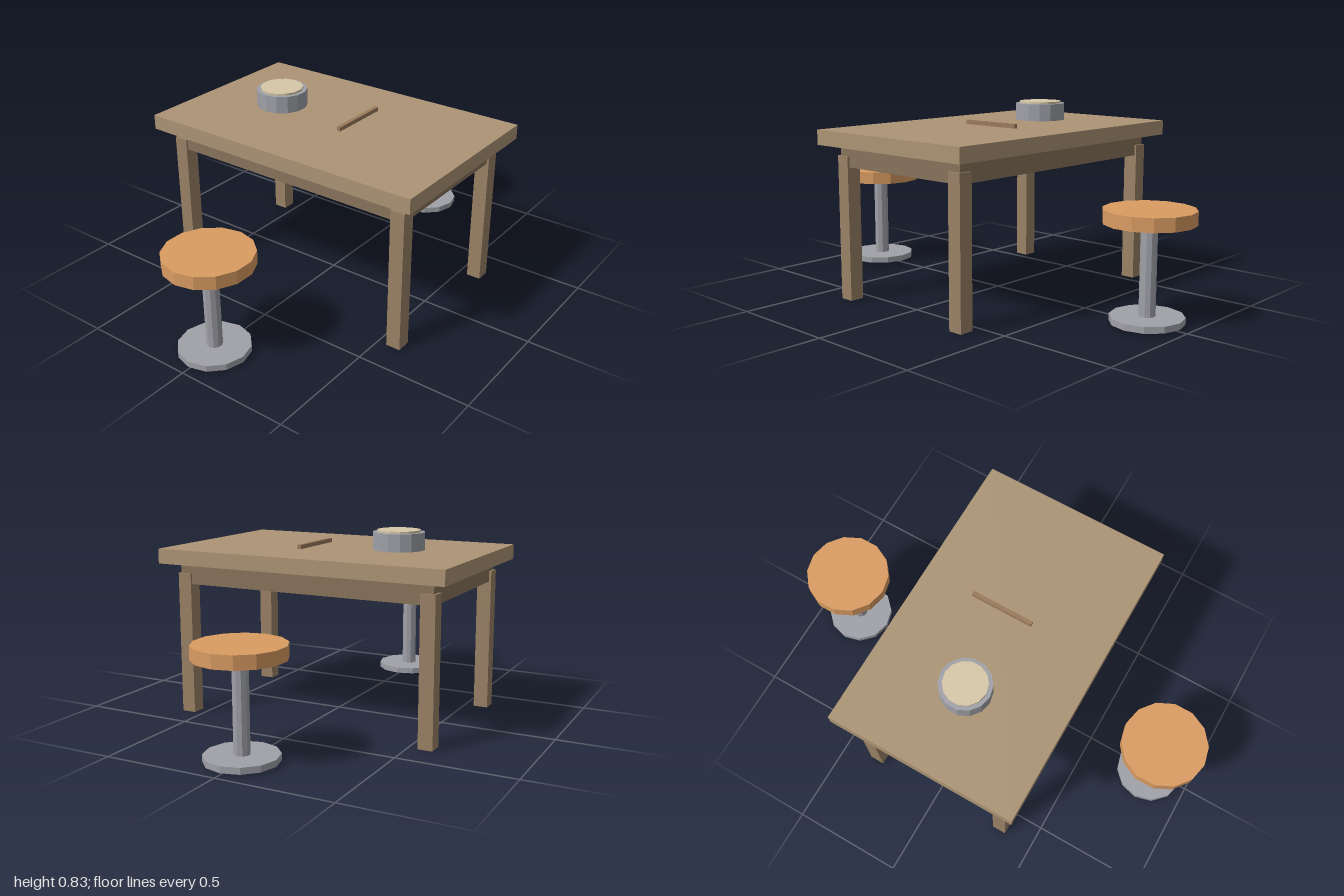
import * as THREE from 'three';

const paint = (color) => new THREE.MeshStandardMaterial({ color, flatShading: true });

export function createModel() {
  const model = new THREE.Group();
  model.name = 'tableWithStools';

  const topWood = paint(0xac9474);
  const apronWood = paint(0x88735a);
  const legWood = paint(0x9a8266);
  const stickWood = paint(0x9a7a5c);
  const orange = paint(0xda9c62);
  const metal = paint(0xa0a1a8);
  const cream = paint(0xd6c8a8);

  function add(parent, name, geometry, material, x, y, z) {
    const mesh = new THREE.Mesh(geometry, material);
    mesh.name = name;
    mesh.position.set(x, y, z);
    parent.add(mesh);
  }

  // Box and upright prism, both placed by their bottom and top heights
  function box(parent, name, material, w, d, y0, y1, x = 0, z = 0) {
    add(parent, name, new THREE.BoxGeometry(w, y1 - y0, d), material, x, (y0 + y1) / 2, z);
  }
  function disc(parent, name, material, r, sides, y0, y1, x = 0, z = 0) {
    add(parent, name, new THREE.CylinderGeometry(r, r, y1 - y0, sides), material, x, (y0 + y1) / 2, z);
  }

  // Table
  const table = new THREE.Group();
  table.name = 'table';
  model.add(table);
  box(table, 'tableTop', topWood, 1.33, 0.854, 0.675, 0.74);
  box(table, 'apron', apronWood, 1.19, 0.716, 0.583, 0.675);
  for (const sx of [-1, 1]) {
    for (const sz of [-1, 1]) {
      const name = (sz > 0 ? 'front' : 'back') + (sx > 0 ? 'Left' : 'Right') + 'Leg';
      box(table, name, legWood, 0.064, 0.064, 0, 0.63, sx * 0.573, sz * 0.335);
    }
  }

  // Stools in front of and behind the table
  for (const sz of [-1, 1]) {
    const stool = new THREE.Group();
    stool.name = sz > 0 ? 'frontStool' : 'backStool';
    stool.position.z = sz * 0.812;
    model.add(stool);
    disc(stool, 'seat', orange, 0.188, 14, 0.411, 0.468);
    disc(stool, 'post', metal, 0.034, 10, 0, 0.412);
    disc(stool, 'base', metal, 0.153, 12, 0.007, 0.034);
  }

  // Pot with its lid
  const pot = new THREE.Group();
  pot.name = 'pot';
  pot.position.x = -0.288;
  model.add(pot);
  disc(pot, 'potBody', metal, 0.113, 14, 0.745, 0.821);
  disc(pot, 'potLid', cream, 0.095, 14, 0.8, 0.83);

  // Stick lying on the table
  box(model, 'stick', stickWood, 0.018, 0.284, 0.745, 0.763, 0.094, -0.048);

  return model;
}
